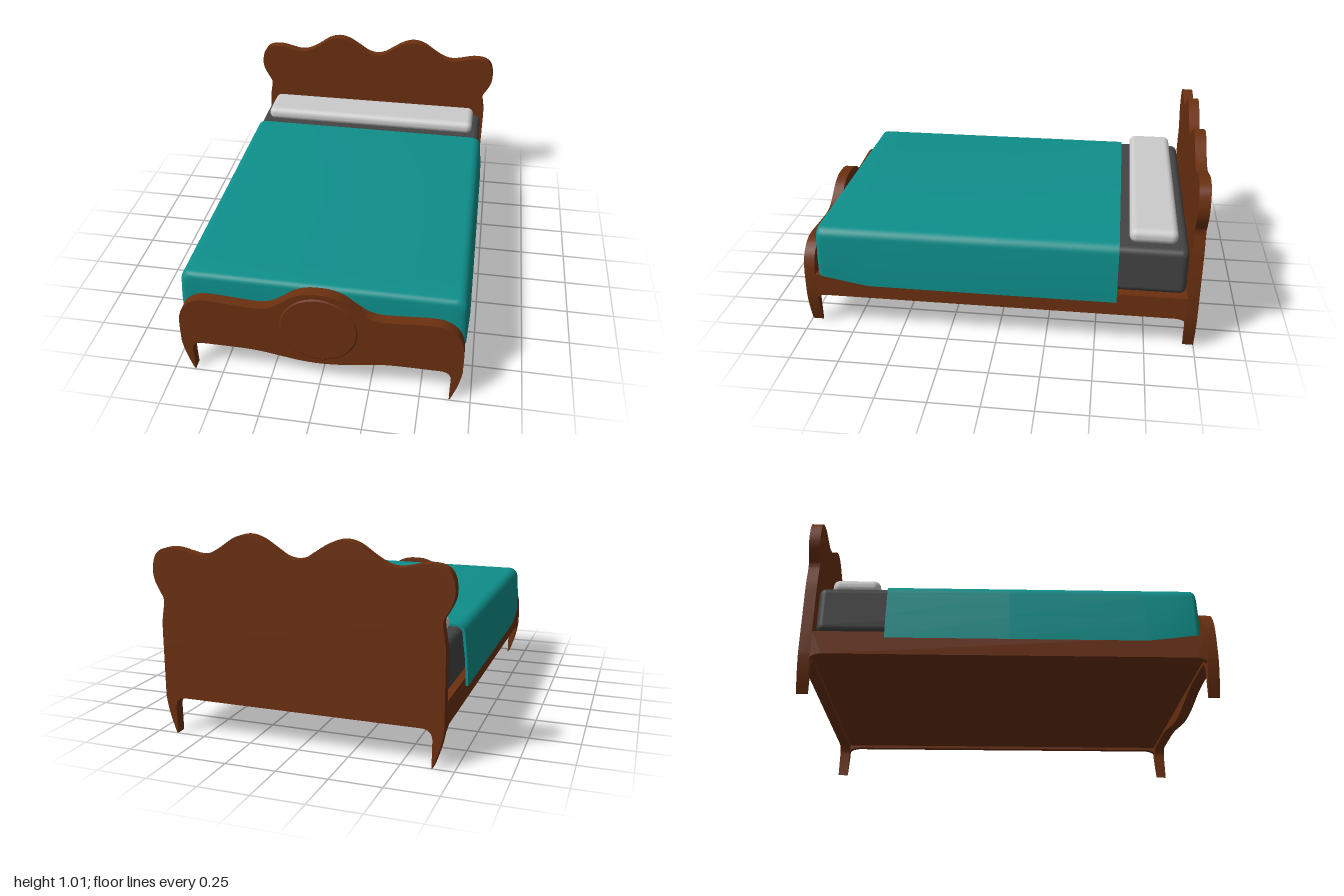
import * as THREE from 'three';
import { toCreasedNormals } from 'three/addons/utils/BufferGeometryUtils.js';
import { RoundedBoxGeometry } from 'three/addons/geometries/RoundedBoxGeometry.js';

const wood = new THREE.MeshStandardMaterial({ color: 0x6b3010 });
const teal = new THREE.MeshStandardMaterial({ color: 0x0e8f8b, side: THREE.DoubleSide });
const dark = new THREE.MeshStandardMaterial({ color: 0x444444 });
const grey = new THREE.MeshStandardMaterial({ color: 0xcccccc });

function part(name, geometry, material, x = 0, y = 0, z = 0) {
  const mesh = new THREE.Mesh(geometry, material);
  mesh.name = name;
  mesh.position.set(x, y, z);
  return mesh;
}

// Mirrors a half outline (centre point first) and smooths it, running from +x to -x
function symmetricCurve(half, divisions) {
  const right = half.map(([x, y]) => new THREE.Vector2(x, y)).reverse();
  const left = half.slice(1).map(([x, y]) => new THREE.Vector2(-x, y));
  return new THREE.SplineCurve([...right, ...left]).getPoints(divisions);
}

// A shaped end board with two tapered feet
function endBoard(topHalf, bottomHalf) {
  const foot = new THREE.SplineCurve([[0.7, 0.19], [0.692, 0.14], [0.677, 0.08], [0.651, 0.003]]
    .map(([x, y]) => new THREE.Vector2(x, y))).getPoints(10);
  const knee = new THREE.QuadraticBezierCurve(new THREE.Vector2(0.647, 0.135),
    new THREE.Vector2(0.645, 0.18), new THREE.Vector2(0.6, 0.185)).getPoints(8);
  const leg = [...foot, new THREE.Vector2(0.645, 0), ...knee];
  const otherLeg = leg.map((p) => new THREE.Vector2(-p.x, p.y)).reverse();
  const under = symmetricCurve(bottomHalf, 40).slice(1, -1);
  const top = symmetricCurve(topHalf, 140).reverse();
  const shape = new THREE.Shape([...leg, ...under, ...otherLeg, ...top]);
  const geometry = new THREE.ExtrudeGeometry(shape, { depth: 0.055, bevelEnabled: false });
  return toCreasedNormals(geometry, 0.6);
}

// Side rail with small curved brackets against both end boards
function railGeometry() {
  const s = new THREE.Shape();
  s.moveTo(-0.946, 0.303);
  s.lineTo(-0.946, 0.165);
  s.quadraticCurveTo(-0.93, 0.183, -0.89, 0.185);
  s.lineTo(0.89, 0.185);
  s.quadraticCurveTo(0.93, 0.183, 0.942, 0.165);
  s.lineTo(0.942, 0.303);
  const g = new THREE.ExtrudeGeometry(s, { depth: 0.03, bevelEnabled: false });
  g.rotateY(-Math.PI / 2);
  return toCreasedNormals(g.translate(0.015, 0, 0), 0.6);
}

// Draped blanket: cross-sections along z, rolled over and tucked in at the foot
function blanketGeometry() {
  const R = 0.05, arcSteps = 8, rings = [];
  const section = (z, top, w, bottomX, bottomY, inset = 0) => {
    const half = [[bottomX - inset, bottomY], [(bottomX + w) / 2 + 0.004 - inset, (bottomY + top - R) / 2]];
    for (let i = 0; i <= arcSteps; i++) {
      const a = (i / arcSteps) * Math.PI / 2;
      half.push([w - inset - R + R * Math.cos(a), top - inset - R + R * Math.sin(a)]);
    }
    rings.push([...half, ...half.map(([x, y]) => [-x, y]).reverse()].map(([x, y]) => [x, y, z]));
  };
  section(-0.6, 0.567, 0.695, 0.715, 0.265, 0.012);
  section(-0.6, 0.567, 0.695, 0.715, 0.265);
  section(0, 0.567, 0.695, 0.715, 0.265);
  section(0.66, 0.567, 0.695, 0.714, 0.265);
  section(0.78, 0.567, 0.695, 0.708, 0.282);
  for (let i = 0; i <= 6; i++) {
    const a = (i / 6) * Math.PI / 2, drop = 0.03 * (1 - Math.cos(a));
    section(0.895 + 0.03 * Math.sin(a), 0.567 - drop, 0.695 - drop, 0.703 - drop, 0.3 + 0.008 * i / 6);
  }
  rings.push(rings.at(-1).map(([x, , z]) => [x, 0.308, z]));

  const n = rings[0].length, index = [];
  for (let r = 0; r < rings.length - 1; r++) {
    for (let i = 0; i < n - 1; i++) {
      const a = r * n + i, b = a + n;
      index.push(a, a + 1, b, a + 1, b + 1, b);
    }
  }
  const g = new THREE.BufferGeometry();
  g.setAttribute('position', new THREE.Float32BufferAttribute(rings.flat(2), 3));
  g.setIndex(index);
  return toCreasedNormals(g, 0.7);
}

export function createModel() {
  const bed = new THREE.Group();
  bed.name = 'bed';

  // End boards
  const headTop = [[0, 0.905], [0.05, 0.916], [0.1, 0.947], [0.17, 0.99], [0.235, 1.006], [0.3, 0.99],
    [0.37, 0.943], [0.43, 0.91], [0.485, 0.9], [0.54, 0.91], [0.61, 0.925], [0.68, 0.918], [0.72, 0.885],
    [0.736, 0.82], [0.729, 0.765], [0.705, 0.715], [0.686, 0.68], [0.687, 0.64], [0.699, 0.56], [0.7, 0.45]];
  const footTop = [[0, 0.58], [0.06, 0.575], [0.12, 0.552], [0.18, 0.507], [0.235, 0.471], [0.3, 0.456],
    [0.4, 0.46], [0.54, 0.469], [0.61, 0.458], [0.665, 0.418], [0.692, 0.36], [0.7, 0.29]];
  const headUnder = [[0, 0.185], [0.3, 0.185], [0.6, 0.185]];
  const footUnder = [[0, 0.141], [0.1, 0.147], [0.2, 0.163], [0.3, 0.179], [0.4, 0.185], [0.6, 0.185]];
  bed.add(part('headboard', endBoard(headTop, headUnder), wood, 0, 0, -1));
  bed.add(part('footboard', endBoard(footTop, footUnder), wood, 0, 0, 0.94));

  // Round panel on the footboard
  const medallion = new THREE.CylinderGeometry(0.184, 0.194, 0.007, 64).rotateX(Math.PI / 2);
  bed.add(part('footboardMedallion', toCreasedNormals(medallion, 0.4), wood, 0, 0.362, 0.9965));

  // Frame
  for (const side of [1, -1]) {
    bed.add(part(side > 0 ? 'leftRail' : 'rightRail', railGeometry(), wood, side * 0.684, 0, 0));
  }
  bed.add(part('basePanel', new THREE.BoxGeometry(1.35, 0.1, 1.89), wood, 0, 0.25, 0));

  // Bedding
  bed.add(part('mattress', new RoundedBoxGeometry(1.364, 0.245, 1.85, 5, 0.035), dark, 0, 0.4325, -0.012));
  bed.add(part('pillow', new RoundedBoxGeometry(1.27, 0.075, 0.236, 6, 0.034), grey, 0, 0.593, -0.764));
  bed.add(part('blanket', blanketGeometry(), teal));
  return bed;
}
